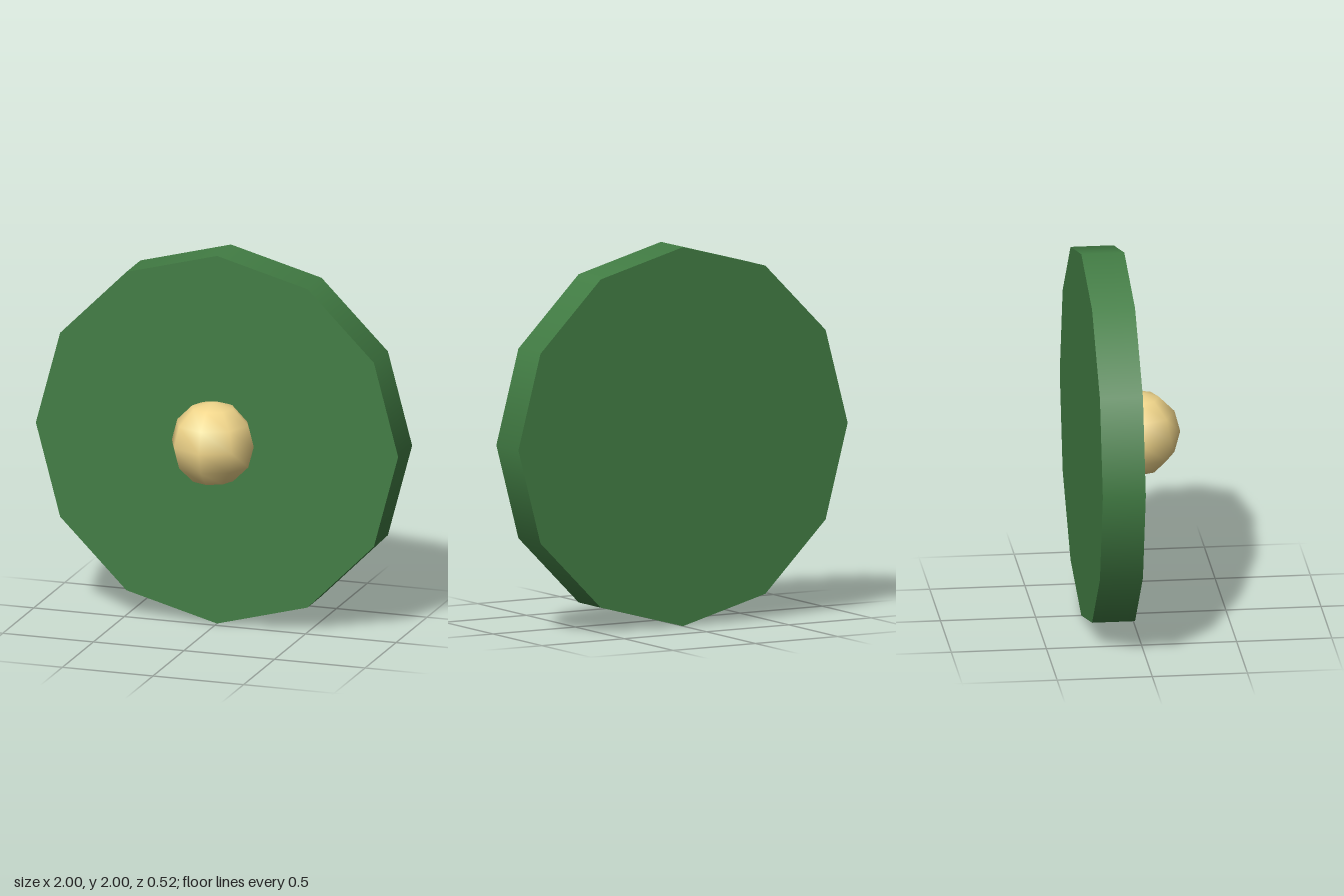
import * as THREE from 'three';

export function createModel() {
  const group = new THREE.Group();

  // Twelve-sided pad standing on edge, smooth round the rim
  const pad = new THREE.Mesh(
    new THREE.CylinderGeometry(1, 1, 0.226, 12),
    new THREE.MeshStandardMaterial({ color: 0x427d44 })
  );
  pad.name = 'disc';
  pad.rotation.x = Math.PI / 2;
  pad.position.set(0, 1, -0.147);
  group.add(pad);

  // Low-poly ball set into the middle of the front face
  const ball = new THREE.Mesh(
    new THREE.SphereGeometry(0.226, 8, 6),
    new THREE.MeshStandardMaterial({ color: 0xf0d58a })
  );
  ball.name = 'centreBall';
  ball.position.set(0, 1, 0.034);
  group.add(ball);

  return group;
}
